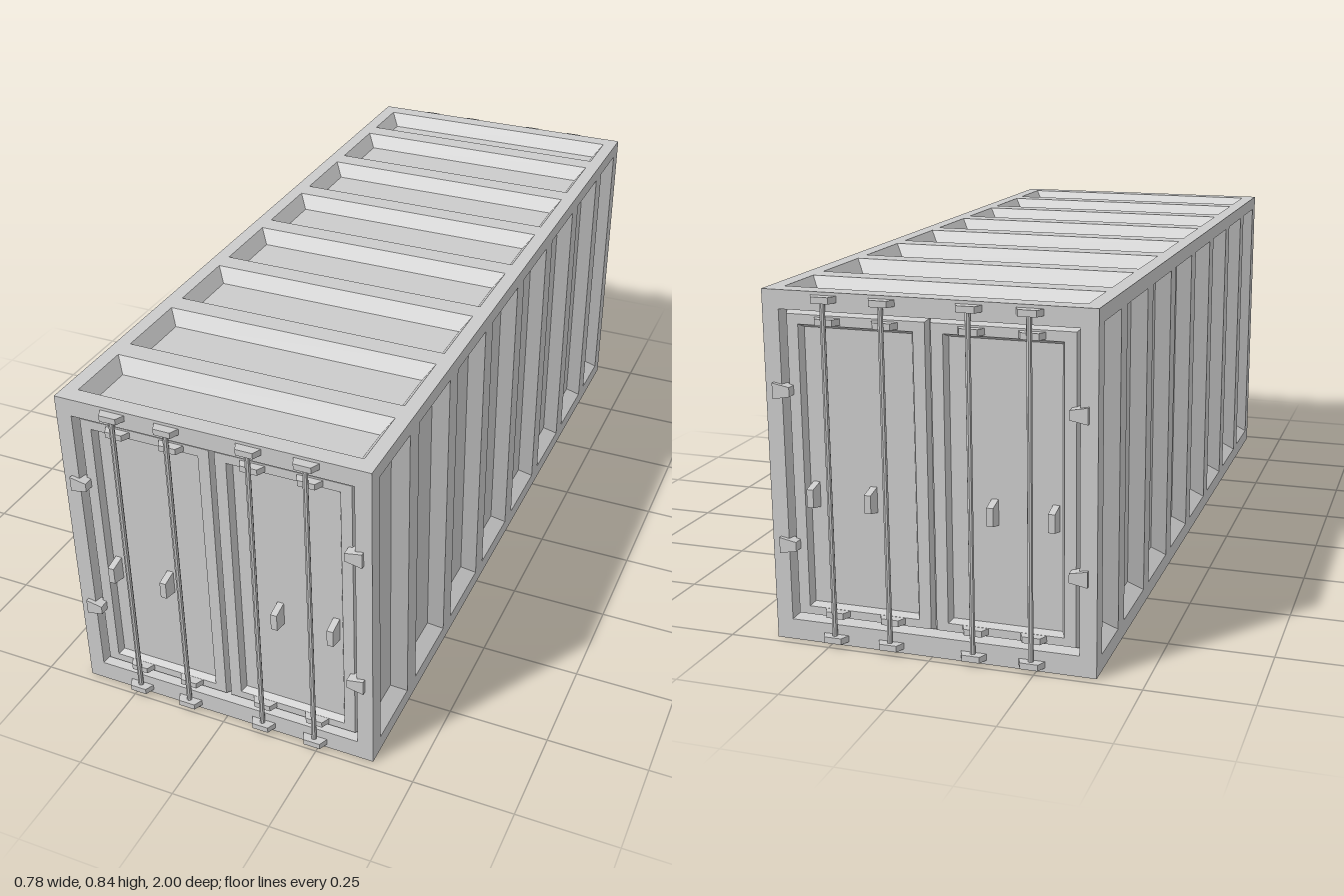
import * as THREE from 'three';
import { mergeGeometries } from 'three/addons/utils/BufferGeometryUtils.js';

const W = 0.39, H = 0.836, L = 0.978; // half width, height, half length
const material = new THREE.MeshStandardMaterial({ color: 0xcccccc, flatShading: true });

// Rectangles are [x0, y0, x1, y1], always in the XY plane facing +z.
const corners = ([x0, y0, x1, y1]) => [[x0, y0], [x1, y0], [x1, y1], [x0, y1]];
const inset = ([x0, y0, x1, y1], d, e = d) => [x0 + d, y0 + e, x1 - d, y1 - e];

// Flat rectangle at depth z with rectangular holes
function face(rect, z, holes = []) {
  const points = (r) => corners(r).map((c) => new THREE.Vector2(...c));
  const shape = new THREE.Shape(points(rect));
  for (const hole of holes) shape.holes.push(new THREE.Path(points(hole).reverse()));
  const geometry = new THREE.ShapeGeometry(shape).toNonIndexed();
  geometry.deleteAttribute('uv');
  return geometry.translate(0, 0, z);
}

// Four sloping walls from an outer rectangle to an inner one
function slope(outer, zOuter, inner, zInner) {
  const a = corners(outer), b = corners(inner), pos = [];
  for (let i = 0; i < 4; i++) {
    const j = (i + 1) % 4;
    const p = [...a[i], zOuter], q = [...a[j], zOuter], r = [...b[j], zInner], s = [...b[i], zInner];
    pos.push(...p, ...q, ...r, ...p, ...r, ...s);
  }
  const geometry = new THREE.BufferGeometry();
  geometry.setAttribute('position', new THREE.Float32BufferAttribute(pos, 3));
  geometry.computeVertexNormals();
  return geometry;
}

// Pressed panel or, with zInner above zOuter, a raised tapered block
function pan(rect, zOuter, zInner, d, e = d) {
  const inner = inset(rect, d, e);
  return [slope(rect, zOuter, inner, zInner), face(inner, zInner)];
}

function mesh(name, geometry) {
  const m = new THREE.Mesh(geometry, material);
  m.name = name;
  return m;
}

// Extents of the pressed panels along the length
function panelSpans() {
  const spans = [];
  for (let k = -4; k < 4; k++) {
    const c = -0.014 + 0.25 * k + 0.125;
    spans.push([Math.max(c - 0.098, -0.934), Math.min(c + 0.098, 0.934)]);
  }
  return spans;
}

// Wall with a row of pressed panels
function ribbedWall(name, rect, z, recesses) {
  const parts = [face(rect, z, recesses)];
  for (const r of recesses) parts.push(...pan(r, z, z - 0.035, 0.025, 0.027));
  return mesh(name, mergeGeometries(parts));
}

// One end: frame, pair of doors and all their hardware
function doorEnd(name) {
  const end = new THREE.Group();
  end.name = name;
  const doorZ = L - 0.014, grooveZ = L - 0.03, floorZ = L - 0.03;

  // Frame around the opening and the groove behind the doors
  const opening = [-0.35, 0.05, 0.35, 0.792];
  const groove = inset(opening, 0.006);
  end.add(mesh('doorFrame', mergeGeometries([
    face([-W, 0, W, H], L, [opening]),
    slope(opening, L, groove, grooveZ),
    face(groove, grooveZ - 0.002),
  ])));

  for (const side of [-1, 1]) {
    const mirror = ([x0, y0, x1, y1]) => (side > 0 ? [x0, y0, x1, y1] : [-x1, y0, -x0, y1]);

    // Door leaf with a pressed panel
    const foot = mirror([0.001, 0.056, 0.344, 0.786]);
    const leaf = inset(foot, 0.006);
    const panel = mirror([0.035, 0.082, 0.311, 0.757]);
    end.add(mesh('door', mergeGeometries([
      slope(foot, grooveZ, leaf, doorZ),
      face(leaf, doorZ, [panel]),
      ...pan(panel, doorZ, floorZ, 0.008),
    ])));

    // Hinges, taller on the frame side
    for (const y of [0.235, 0.604]) {
      const shape = new THREE.Shape([
        [0.328, -0.011], [0.37, -0.019], [0.37, 0.019], [0.328, 0.011],
      ].map(([x, v]) => new THREE.Vector2(side * x, v)));
      const hinge = mesh('hinge', new THREE.ExtrudeGeometry(shape, { depth: 0.03, bevelEnabled: false }));
      hinge.position.set(0, y, L - 0.02);
      end.add(hinge);
    }

    // Handles
    for (const x of [0.146, 0.288]) {
      const cx = side * x;
      end.add(mesh('handle', mergeGeometries(
        pan([cx - 0.008, 0.325, cx + 0.008, 0.386], floorZ, L + 0.008, 0, 0.009))));
    }

    // Locking bars with their brackets
    for (const x of [0.101, 0.239]) {
      const cx = side * x;
      const bar = mesh('lockingBar', new THREE.CylinderGeometry(0.0065, 0.0065, H - 0.026, 8));
      bar.position.set(cx, H / 2, L + 0.007);
      end.add(bar);
      const bracket = (y, z0, z1) => mesh('barBracket', mergeGeometries(
        pan([cx - 0.031, y - 0.0075, cx + 0.031, y + 0.0075], z0, z1, 0.01, 0)));
      for (const y of [0.018, 0.821]) end.add(bracket(y, L, 1));
      for (const y of [0.074, 0.768]) end.add(bracket(y, doorZ, L + 0.006));
    }
  }
  return end;
}

export function createModel() {
  const model = new THREE.Group();
  model.name = 'shippingContainer';
  const spans = panelSpans();

  // Side walls: local x runs along -z on the left wall, +z on the right
  for (const side of [1, -1]) {
    const recesses = spans.map(([a, b]) => (side > 0 ? [-b, 0.04, -a, 0.8] : [a, 0.04, b, 0.8]));
    const wall = ribbedWall(side > 0 ? 'leftWall' : 'rightWall', [-L, 0, L, H], W, recesses);
    wall.rotation.y = side * Math.PI / 2;
    model.add(wall);
  }

  // Roof and floor
  const roof = ribbedWall('roof', [-W, -L, W, L], 0, spans.map(([a, b]) => [-0.354, -b, 0.354, -a]));
  roof.rotation.x = -Math.PI / 2;
  roof.position.y = H;
  const floor = ribbedWall('floor', [-W, -L, W, L], 0, spans.map(([a, b]) => [-0.354, a, 0.354, b]));
  floor.rotation.x = Math.PI / 2;
  model.add(roof, floor);

  // Matching doors on both ends
  const back = doorEnd('backEnd');
  back.rotation.y = Math.PI;
  model.add(doorEnd('frontEnd'), back);
  return model;
}
